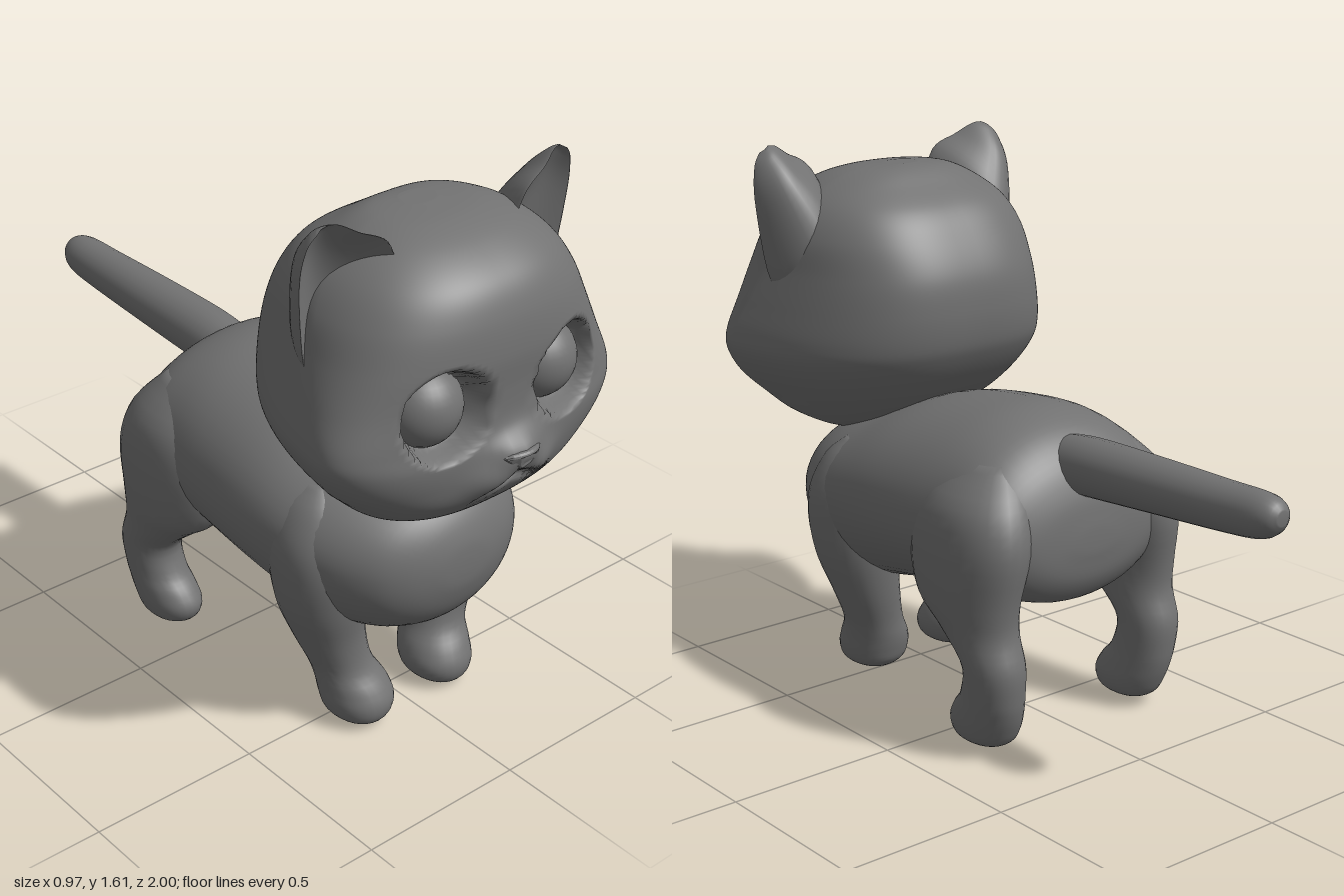
import * as THREE from 'three';

const material = new THREE.MeshStandardMaterial({ color: 0x727272 });

// Resample rows of numbers with a smooth curve through every column.
function smooth(rows, count) {
  const out = [];
  for (let i = 0; i < count; i++) {
    const f = (i / (count - 1)) * (rows.length - 1);
    const k = Math.min(Math.floor(f), rows.length - 2);
    const t = f - k;
    const a = rows[Math.max(k - 1, 0)], b = rows[k], c = rows[k + 1], d = rows[Math.min(k + 2, rows.length - 1)];
    out.push(b.map((p, j) => {
      const m0 = (c[j] - a[j]) / 2, m1 = (d[j] - p) / 2;
      return p + m0 * t + (3 * (c[j] - p) - 2 * m0 - m1) * t * t + (2 * (p - c[j]) + m0 + m1) * t * t * t;
    }));
  }
  return out;
}

// Skin closed rings of [x, y, z] points, cap both ends and face outwards.
function loft(rings) {
  const n = rings[0].length, last = rings.length - 1;
  const points = rings.flat();
  const index = [];
  for (let i = 0; i < last; i++) {
    for (let j = 0; j < n; j++) {
      const a = i * n + j, b = i * n + (j + 1) % n;
      index.push(a, b, a + n, b, b + n, a + n);
    }
  }
  for (const r of [0, last]) {
    const centre = [0, 1, 2].map((k) => rings[r].reduce((s, p) => s + p[k], 0) / n);
    const c = points.push(centre) - 1;
    for (let j = 0; j < n; j++) {
      const a = r * n + j, b = r * n + (j + 1) % n;
      if (r === 0) index.push(c, b, a);
      else index.push(c, a, b);
    }
  }
  // A negative enclosed volume means the winding is inside out.
  let volume = 0;
  for (let i = 0; i < index.length; i += 3) {
    const [a, b, c] = [0, 1, 2].map((k) => new THREE.Vector3(...points[index[i + k]]));
    volume += a.dot(b.cross(c));
  }
  if (volume < 0) index.reverse();
  const geometry = new THREE.BufferGeometry();
  geometry.setAttribute('position', new THREE.Float32BufferAttribute(points.flat(), 3));
  geometry.setIndex(index);
  geometry.computeVertexNormals();
  return geometry;
}

// Superellipse ring: calls place(u, v) with u, v in -1..1.
function ring(n, power, place) {
  return Array.from({ length: n }, (_, i) => {
    const a = (i / n) * Math.PI * 2;
    const bend = (v) => Math.sign(v) * Math.abs(v) ** (2 / power);
    return place(bend(Math.cos(a)), bend(Math.sin(a)));
  });
}

const bump = (x, y, sx, sy) => Math.exp(-((x / sx) ** 2) - (y / sy) ** 2);

// Front relief of the face: eye sockets, muzzle pads, nose bridge and mouth crease.
function faceRelief(x, y) {
  const ax = Math.abs(x);
  const socket = 1 - THREE.MathUtils.smoothstep(Math.hypot(ax - 0.205, y - 1.128), 0.1, 0.128);
  const lip = 0.908 - 5 * x * x;
  const crease = ax < 0.12 ? Math.exp(-(((y - lip) / 0.013) ** 2)) * (1 - (ax / 0.12) ** 2) : 0;
  return -0.075 * socket + 0.033 * bump(ax - 0.07, y - 0.92, 0.075, 0.05)
    + 0.048 * bump(x, y - 0.985, 0.07, 0.05) - 0.022 * crease;
}

function headGeometry() {
  // y, half width, front z, z of the widest point, back z
  const rows = [
    [0.725, 0.1, 0.74, 0.66, 0.58], [0.75, 0.2, 0.8, 0.66, 0.55], [0.8, 0.3, 0.87, 0.68, 0.45],
    [0.86, 0.37, 0.92, 0.7, 0.36], [0.93, 0.44, 0.935, 0.73, 0.29], [1, 0.48, 0.94, 0.74, 0.24],
    [1.06, 0.482, 0.93, 0.74, 0.215], [1.15, 0.455, 0.93, 0.7, 0.205], [1.25, 0.42, 0.935, 0.65, 0.215],
    [1.35, 0.385, 0.92, 0.6, 0.26], [1.43, 0.33, 0.88, 0.58, 0.32], [1.49, 0.25, 0.8, 0.58, 0.41],
    [1.525, 0.16, 0.7, 0.57, 0.47], [1.537, 0.05, 0.6, 0.56, 0.52],
  ];
  return loft(smooth(rows, 130).map(([y, w, front, mid, back]) => {
    // The face is a rounder curve, the back squarer and tapered.
    const face = ring(144, 2.4, (u, v) => [u * w, y, mid + v * (front - mid) + faceRelief(u * w, y) * Math.min(1, v * 2)]);
    const rear = ring(144, 2.9, (u, v) => [u * w * (1 + 0.17 * v), y, mid + v * (mid - back)]);
    return [...face.slice(0, 73), ...rear.slice(73)];
  }));
}

function bodyGeometry() {
  // z, top y, bottom y, half width, y of the widest point
  const rows = [
    [0.802, 0.58, 0.54, 0.025, 0.56], [0.795, 0.635, 0.485, 0.1, 0.56], [0.765, 0.7, 0.41, 0.19, 0.56],
    [0.71, 0.75, 0.35, 0.265, 0.57], [0.61, 0.79, 0.305, 0.33, 0.58], [0.47, 0.83, 0.295, 0.372, 0.6],
    [0.3, 0.89, 0.33, 0.385, 0.61], [0.1, 0.92, 0.37, 0.38, 0.62], [-0.05, 0.925, 0.385, 0.365, 0.63],
    [-0.17, 0.89, 0.39, 0.36, 0.62], [-0.25, 0.82, 0.41, 0.31, 0.62], [-0.295, 0.73, 0.47, 0.22, 0.6],
    [-0.31, 0.65, 0.54, 0.1, 0.59], [-0.313, 0.605, 0.575, 0.025, 0.59],
  ];
  return loft(smooth(rows, 60).map(([z, top, bottom, w, mid]) =>
    ring(48, 2.05, (u, v) => [u * w, mid + v * (v > 0 ? top - mid : mid - bottom), z])));
}

// Leg rows: y, centre x, centre z, x radius, z radius
const frontLegRows = [
  [0, 0.15, 0.55, 0.015, 0.025], [0.01, 0.15, 0.55, 0.055, 0.07], [0.035, 0.15, 0.545, 0.088, 0.1],
  [0.075, 0.15, 0.54, 0.1, 0.11], [0.12, 0.157, 0.525, 0.096, 0.105], [0.18, 0.178, 0.502, 0.087, 0.09],
  [0.28, 0.21, 0.49, 0.1, 0.1], [0.4, 0.24, 0.49, 0.12, 0.122], [0.52, 0.255, 0.49, 0.125, 0.135],
  [0.62, 0.26, 0.48, 0.115, 0.13], [0.71, 0.25, 0.47, 0.08, 0.1], [0.76, 0.24, 0.47, 0.03, 0.04],
];
const hindLegRows = [
  [0.015, 0.272, -0.155, 0.015, 0.025], [0.024, 0.272, -0.155, 0.045, 0.065], [0.045, 0.273, -0.155, 0.073, 0.1],
  [0.085, 0.275, -0.16, 0.083, 0.118], [0.13, 0.28, -0.18, 0.082, 0.115], [0.18, 0.285, -0.205, 0.08, 0.1],
  [0.27, 0.29, -0.215, 0.083, 0.095], [0.36, 0.29, -0.155, 0.092, 0.13], [0.45, 0.29, -0.105, 0.107, 0.185],
  [0.6, 0.275, -0.1, 0.125, 0.212], [0.72, 0.25, -0.1, 0.12, 0.175], [0.82, 0.21, -0.1, 0.06, 0.09],
];
const legGeometry = (rows, side) => loft(smooth(rows, 44).map(([y, cx, cz, rx, rz]) =>
  ring(28, 2.1, (u, v) => [side * (cx + u * rx), y, cz + v * rz])));

// Cupped ear: inner edge x y z, outer edge x y z, depth of the back
function earGeometry(side) {
  const rows = [
    [0.18, 1.4, 0.7, 0.39, 1.17, 0.61, 0.17], [0.23, 1.53, 0.71, 0.43, 1.25, 0.63, 0.165],
    [0.31, 1.575, 0.695, 0.455, 1.45, 0.645, 0.105], [0.36, 1.603, 0.677, 0.445, 1.55, 0.658, 0.045],
    [0.39, 1.607, 0.67, 0.42, 1.59, 0.668, 0.015],
  ];
  const n = 18;
  return loft(smooth(rows, 24).map((r) => Array.from({ length: 2 * n }, (_, i) => {
    const isBack = i < n;
    const u = (1 - Math.cos((i / n) * Math.PI)) / 2;
    const [x, y, z] = [0, 1, 2].map((k) => THREE.MathUtils.lerp(r[k], r[k + 3], u));
    const arch = Math.sin(Math.PI * u);
    return [side * x, y, z - r[6] * (isBack ? arch ** 0.7 : 0.5 * arch)];
  })));
}

function tailGeometry() {
  // z, centre y, x radius, y radius
  const rows = [
    [-0.18, 0.79, 0.08, 0.08], [-0.3, 0.8, 0.085, 0.083], [-0.55, 0.81, 0.08, 0.076],
    [-0.8, 0.818, 0.07, 0.068], [-0.93, 0.825, 0.062, 0.062], [-0.98, 0.83, 0.045, 0.045], [-1, 0.833, 0.02, 0.02],
  ];
  return loft(smooth(rows, 26).map(([z, y, rx, ry]) => ring(20, 2, (u, v) => [u * rx, y + v * ry, z])));
}

function noseGeometry() {
  const shape = new THREE.Shape();
  shape.moveTo(-0.055, 0.982);
  shape.quadraticCurveTo(0, 0.992, 0.055, 0.982);
  shape.quadraticCurveTo(0.03, 0.955, 0, 0.945);
  shape.quadraticCurveTo(-0.03, 0.955, -0.055, 0.982);
  const geometry = new THREE.ExtrudeGeometry(shape, {
    depth: 0.02, bevelThickness: 0.012, bevelSize: 0.01, bevelSegments: 3, curveSegments: 8,
  });
  // Sweep the sides back around the muzzle and tuck the lower tip in.
  const p = geometry.attributes.position;
  for (let i = 0; i < p.count; i++) {
    p.setZ(i, p.getZ(i) + 0.966 - 7 * p.getX(i) ** 2 - 0.5 * Math.max(0, 0.98 - p.getY(i)));
  }
  geometry.computeVertexNormals();
  return geometry;
}

export function createModel() {
  const model = new THREE.Group();
  model.name = 'kitten';
  const add = (name, geometry) => {
    const mesh = new THREE.Mesh(geometry, material);
    mesh.name = name;
    model.add(mesh);
    return mesh;
  };
  add('body', bodyGeometry());
  add('head', headGeometry());
  add('nose', noseGeometry());
  add('tail', tailGeometry());
  for (const [label, side] of [['left', 1], ['right', -1]]) {
    add(label + 'Ear', earGeometry(side));
    add(label + 'Eye', new THREE.SphereGeometry(0.112, 32, 20)).position.set(side * 0.2, 1.122, 0.8);
    add(label + 'FrontLeg', legGeometry(frontLegRows, side));
    add(label + 'HindLeg', legGeometry(hindLegRows, side));
  }
  return model;
}
